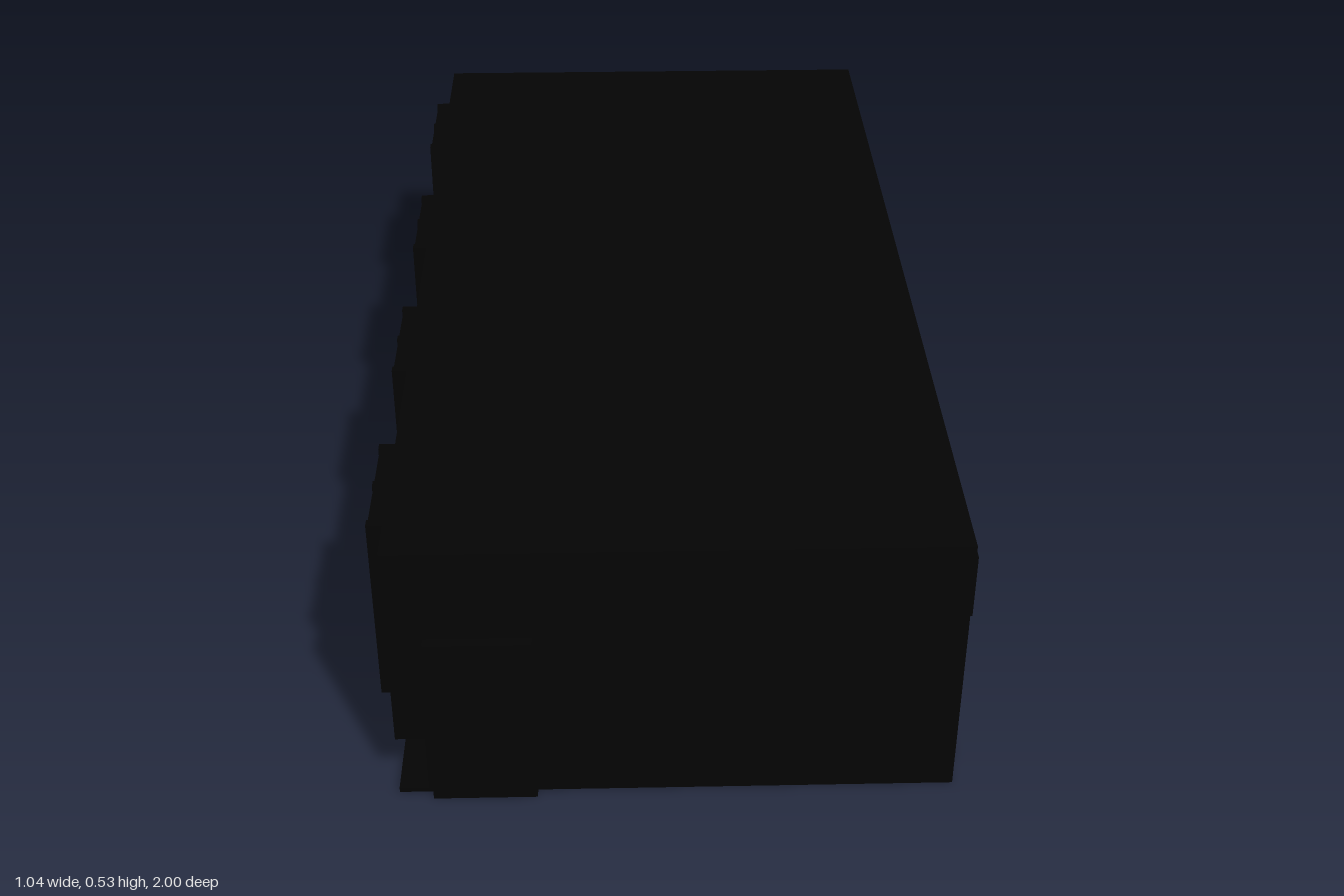
import * as THREE from 'three';

const black = new THREE.MeshStandardMaterial({ color: 0x040404 });
black.name = 'black';

// Box given by its minimum and maximum on each axis
function block(name, [x0, x1], [y0, y1], [z0, z1]) {
  const geo = new THREE.BoxGeometry(x1 - x0, y1 - y0, z1 - z0);
  const mesh = new THREE.Mesh(geo, black);
  mesh.position.set((x0 + x1) / 2, (y0 + y1) / 2, (z0 + z1) / 2);
  mesh.name = name;
  return mesh;
}

// Tall framed window with a centre mullion and a transom
function sideWindow(z0, z1) {
  const g = new THREE.Group();
  g.name = 'tallWindow';
  const x = [-0.522, -0.48], bar = 0.016, y0 = 0.126, y1 = 0.5;
  const mid = (z0 + z1) / 2;
  g.add(block('windowPane', [-0.502, -0.48], [y0, y1], [z0 + 0.004, z1 - 0.004]));
  for (const z of [z0, mid - bar / 2, z1 - bar]) {
    g.add(block('windowUpright', x, [y0, y1], [z, z + bar]));
  }
  for (const y of [y0, 0.4, y1 - bar]) {
    g.add(block('windowRail', [-0.519, -0.48], [y, y + bar], [z0 + 0.004, z1 - 0.004]));
  }
  return g;
}

export function createModel() {
  const model = new THREE.Group();
  model.name = 'building';
  const shell = new THREE.Group();
  shell.name = 'shell';
  shell.rotation.y = 0.003;
  model.add(shell);

  // Main volume, overhanging window wall, base slab and end wall
  shell.add(
    block('mainHall', [-0.435, 0.503], [0, 0.53], [-0.997, 0.981]),
    block('windowWall', [-0.487, -0.435], [0.126, 0.53], [-0.997, 0.981]),
    block('floorSlab', [-0.487, -0.435], [0, 0.01], [-0.997, 0.981]),
    block('backWall', [-0.487, -0.435], [0.01, 0.126], [-0.997, -0.977]),
  );

  // Four tall windows on one side, four clerestory panels on the other
  for (let i = 0; i < 4; i++) {
    const z = -0.88 + i * 0.497;
    shell.add(sideWindow(z, z + 0.247));
    const p = -0.985 + i * 0.497;
    shell.add(block('clerestoryPanel', [0.5, 0.509], [0.375, 0.5], [p, p + 0.465]));
  }

  // Doors
  shell.add(
    block('sideDoor', [0.5, 0.516], [0, 0.355], [0.735, 0.92]),
    block('sideDoor', [0.5, 0.516], [0, 0.355], [-0.94, -0.755]),
    block('frontDoor', [-0.425, -0.24], [0, 0.35], [0.978, 0.999]),
  );
  return model;
}
